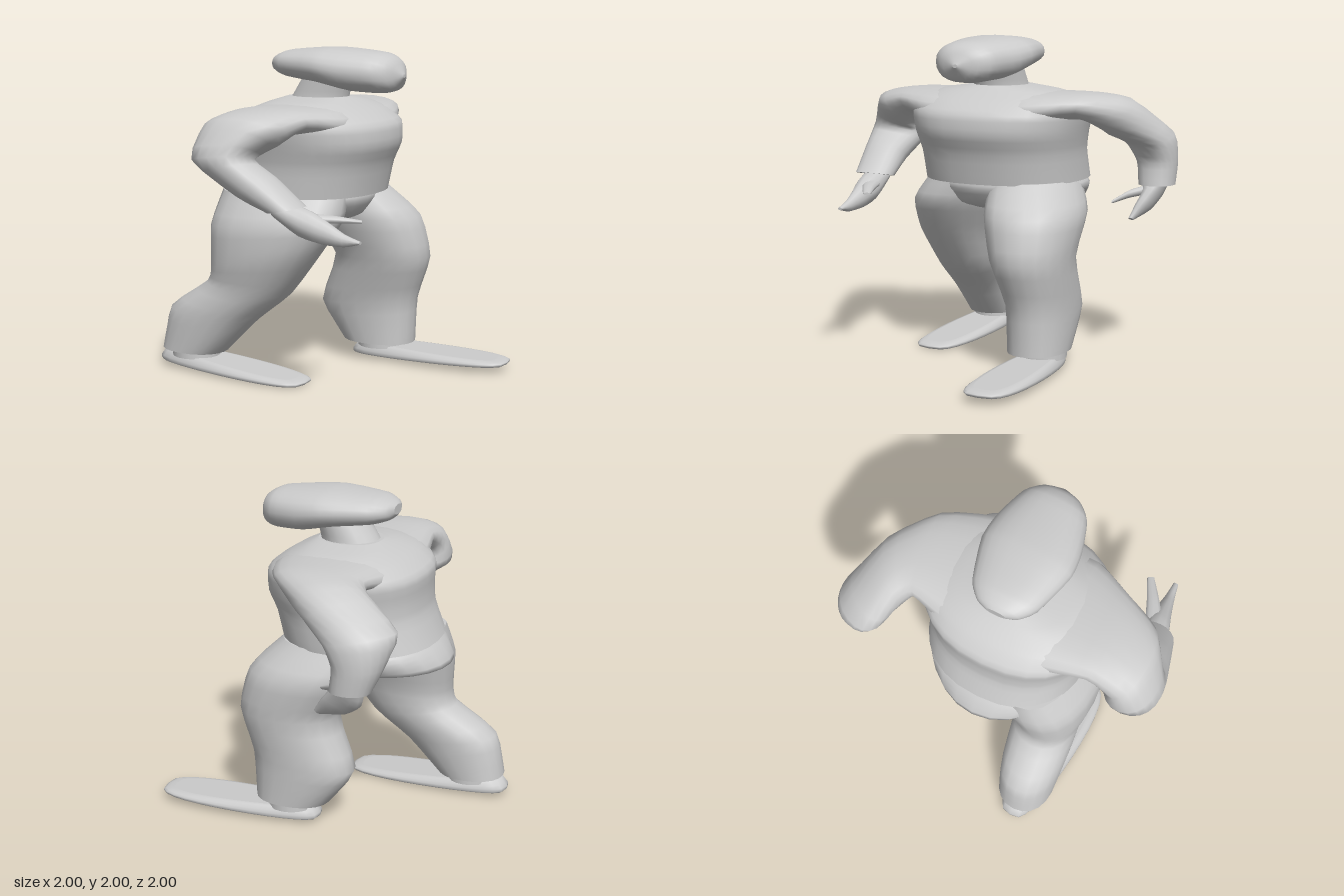
import * as THREE from 'three';

const material = new THREE.MeshStandardMaterial({ color: 0xcccccc, side: THREE.DoubleSide });
const V = (x, y, z) => new THREE.Vector3(x, y, z);

// Closed skin through a list of rings with equal point counts; caps keep their own vertices
function skin(rings) {
  const n = rings[0].length, m = rings.length, pos = [], tris = [];
  rings.forEach(r => r.forEach(p => pos.push(p.x, p.y, p.z)));
  for (let i = 0; i < m - 1; i++) for (let j = 0; j < n; j++) {
    const k = (j + 1) % n, a = i * n + j, b = i * n + k, c = a + n, d = b + n;
    tris.push([a, b, d], [a, d, c]);
  }
  for (const end of [0, m - 1]) {
    const base = pos.length / 3, mid = V(0, 0, 0);
    rings[end].forEach(p => { pos.push(p.x, p.y, p.z); mid.addScaledVector(p, 1 / n); });
    pos.push(mid.x, mid.y, mid.z);
    for (let j = 0; j < n; j++) {
      const t = [base + j, base + (j + 1) % n, base + n];
      tris.push(end ? t : [t[1], t[0], t[2]]);
    }
  }
  // Turn the faces outward if the rings ran the other way
  const at = i => V(pos[3 * i], pos[3 * i + 1], pos[3 * i + 2]);
  let volume = 0;
  for (const t of tris) volume += at(t[0]).dot(at(t[1]).cross(at(t[2])));
  const g = new THREE.BufferGeometry();
  g.setAttribute('position', new THREE.Float32BufferAttribute(pos, 3));
  g.setIndex(tris.flatMap(t => volume < 0 ? [t[0], t[2], t[1]] : t));
  g.computeVertexNormals();
  return g;
}

// Smooth limb through sections [centre, half axis u, half axis v]; power > 2 makes it boxier
function loft(sections, { n = 20, steps = 3, power = 2 } = {}) {
  const curves = [0, 1, 2].map(k =>
    new THREE.CatmullRomCurve3(sections.map(s => V(...s[k])), false, 'catmullrom', 0.3));
  const count = (sections.length - 1) * steps, rings = [];
  const bulge = t => Math.sign(t) * Math.abs(t) ** (2 / power);
  for (let i = 0; i <= count; i++) {
    const [c, u, v] = curves.map(q => q.getPoint(i / count));
    rings.push(Array.from({ length: n }, (_, j) => {
      const a = j / n * Math.PI * 2;
      return c.clone().addScaledVector(u, bulge(Math.cos(a))).addScaledVector(v, bulge(Math.sin(a)));
    }));
  }
  return skin(rings);
}

// Level section from its back and front x, its height and its half width in z
const level = (y, x0, x1, w) => [[(x0 + x1) / 2, y, 0], [(x1 - x0) / 2, 0, 0], [0, 0, w]];
// Upright section across x
const upright = (x, y0, y1, w) => [[x, (y0 + y1) / 2, 0], [0, (y1 - y0) / 2, 0], [0, 0, w]];

// Long flat shoe: sole outline, rim and a top that slopes from ankle to toe
function shoe(heel, toe) {
  const n = 28, dir = toe.clone().sub(heel), side = V(-dir.z, 0, dir.x).normalize();
  const ring = (scale, heelUp, toeUp) => Array.from({ length: n }, (_, j) => {
    const a = j / n * Math.PI * 2, s = Math.sin(a);
    const t = 0.5 - 0.5 * Math.cos(a) * scale;
    const w = (0.135 + 0.05 * t) * (2 * scale - 1);
    const p = heel.clone().addScaledVector(dir, t);
    p.addScaledVector(side, w * Math.sign(s) * Math.abs(s) ** 0.55);
    p.y += heelUp + (toeUp - heelUp) * t;
    return p;
  });
  return skin([ring(0.98, 0, 0), ring(1, 0.01, 0.008), ring(1, 0.03, 0.018),
    ring(0.97, 0.05, 0.024), ring(0.93, 0.08, 0.028), ring(0.87, 0.085, 0.03)]);
}

export function createModel() {
  const model = new THREE.Group();
  const add = (name, geometry) => {
    const mesh = new THREE.Mesh(geometry, material);
    mesh.name = name;
    model.add(mesh);
  };

  // Long flattened head on a short neck
  add('head', loft([
    upright(-0.38, 1.87, 1.93, 0.06), upright(-0.35, 1.84, 1.95, 0.13),
    upright(-0.26, 1.81, 1.98, 0.205), upright(0, 1.775, 2, 0.28),
    upright(0.17, 1.738, 1.992, 0.265), upright(0.36, 1.73, 1.972, 0.205),
    upright(0.44, 1.75, 1.93, 0.13), upright(0.49, 1.825, 1.845, 0.015),
  ], { n: 24, power: 2.3 }));
  add('neck', loft([level(1.64, -0.29, 0.1, 0.18), level(1.7, -0.26, 0.1, 0.165),
    level(1.82, -0.18, 0.13, 0.16)]));

  // Shirt body with a collar
  add('shirt', loft([
    level(1.12, -0.65, 0.3, 0.5), level(1.3, -0.58, 0.34, 0.505),
    level(1.42, -0.57, 0.39, 0.53), level(1.54, -0.57, 0.38, 0.555),
    level(1.62, -0.47, 0.27, 0.53), level(1.67, -0.36, 0.17, 0.38),
    level(1.7, -0.28, 0.11, 0.18),
  ], { n: 28, power: 2.3 }));

  // Left arm bent forward, its shoulder running wide into the shirt
  add('leftSleeve', loft([
    [[-0.1, 1.55, 0.12], [0.38, 0, 0], [0, 0.12, 0]],
    [[-0.09, 1.56, 0.34], [0.37, 0, 0], [0, 0.11, 0]],
    [[-0.12, 1.585, 0.58], [0.285, 0, 0], [0, 0.08, 0.03]],
    [[-0.17, 1.52, 0.76], [0.25, 0, 0], [0, 0.1, 0.1]],
    [[-0.25, 1.38, 0.825], [0.18, 0.02, 0], [0, 0.03, 0.17]],
    [[-0.03, 1.235, 0.815], [0.1, 0.06, 0], [0, 0, 0.14]],
    [[0.15, 1.115, 0.785], [0.1, 0.02, 0], [0, 0, 0.125]],
  ], { power: 2.2 }));
  add('leftHand', loft([
    [[0.1, 1.12, 0.785], [0.02, 0.05, 0], [0, 0, 0.085]],
    [[0.26, 1.04, 0.765], [0.03, 0.075, 0], [0, 0, 0.08]],
    [[0.38, 0.995, 0.755], [0.015, 0.065, 0], [0, 0, 0.055]],
    [[0.5, 0.963, 0.75], [0, 0.037, 0], [0, 0, 0.03]],
    [[0.6, 0.957, 0.745], [0, 0.008, 0], [0, 0, 0.015]],
  ], { n: 12 }));
  add('leftThumb', loft([
    [[0.24, 1.07, 0.75], [0, 0.03, 0], [0.03, 0, 0.05]],
    [[0.4, 1.062, 0.67], [0, 0.022, 0], [0.018, 0, 0.035]],
    [[0.53, 1.05, 0.595], [0, 0.008, 0], [0.01, 0, 0.02]],
  ], { n: 10 }));

  // Right arm swung back
  add('rightSleeve', loft([
    [[-0.1, 1.55, -0.12], [0.38, 0, 0], [0, 0.12, 0]],
    [[-0.09, 1.56, -0.34], [0.36, 0, 0], [0, 0.11, 0]],
    [[-0.13, 1.585, -0.57], [0.27, 0, -0.04], [0, 0.08, -0.03]],
    [[-0.27, 1.515, -0.71], [0.17, 0, -0.12], [-0.05, 0.11, -0.05]],
    [[-0.48, 1.375, -0.82], [0.08, 0, -0.165], [-0.17, 0.04, -0.02]],
    [[-0.49, 1.23, -0.87], [0.02, 0, -0.13], [-0.14, 0, 0]],
    [[-0.45, 1.09, -0.885], [0, 0, -0.11], [-0.12, 0, 0]],
  ], { power: 2.2 }));
  add('rightHand', loft([
    [[-0.45, 1.12, -0.885], [0, 0, -0.08], [-0.09, 0, 0]],
    [[-0.41, 1.03, -0.87], [0, 0.01, -0.06], [-0.1, -0.03, 0]],
    [[-0.33, 0.96, -0.845], [0, 0.01, -0.045], [-0.075, -0.035, 0]],
    [[-0.22, 0.9, -0.815], [0, 0, -0.015], [-0.02, -0.01, 0]],
  ], { n: 12 }));
  add('rightThumb', loft([
    [[-0.4, 1.06, -0.85], [0, 0.03, 0], [0.05, 0, 0]],
    [[-0.31, 1.04, -0.77], [0, 0.024, 0], [0.035, 0, 0]],
    [[-0.2, 1, -0.7], [0, 0.01, 0], [0.015, 0, 0]],
  ], { n: 10 }));

  // Trousers: hips and two striding legs
  add('hips', loft([
    level(1.15, -0.62, 0.24, 0.46), level(1.08, -0.68, 0.25, 0.5),
    level(0.985, -0.73, 0.19, 0.42), level(0.94, -0.6, 0.06, 0.2),
    level(0.93, -0.4, -0.1, 0.06),
  ], { n: 24 }));
  add('leftLeg', loft([
    [[-0.2, 1.13, 0.23], [0.41, 0, 0], [0, 0, 0.25]],
    [[-0.21, 0.95, 0.315], [0.43, 0.03, 0], [0, 0, 0.285]],
    [[-0.26, 0.73, 0.36], [0.36, 0.05, 0], [0, 0, 0.245]],
    [[-0.38, 0.54, 0.36], [0.27, -0.03, 0], [0, 0, 0.21]],
    [[-0.62, 0.36, 0.385], [0.29, -0.03, 0], [0, 0, 0.195]],
    [[-0.76, 0.12, 0.395], [0.21, -0.005, 0], [0, 0, 0.175]],
  ], { power: 2.2 }));
  add('rightLeg', loft([
    [[-0.1, 1.13, -0.23], [0.34, 0, 0], [0, 0, 0.25]],
    [[0.05, 0.94, -0.31], [0.375, 0, 0], [0, 0, 0.285]],
    [[0.17, 0.68, -0.35], [0.31, 0, 0], [0, 0, 0.235]],
    [[0.065, 0.38, -0.375], [0.325, 0.03, 0], [0, 0, 0.195]],
    [[0.135, 0.12, -0.38], [0.235, 0, 0], [0, 0, 0.178]],
  ], { power: 2.2 }));

  // Ankles and shoes
  for (const [side, x, z, heel, toe] of [
    ['left', -0.75, 0.4, V(-1, 0.03, 0.385), V(0.07, 0, 0.45)],
    ['right', 0.14, -0.4, V(-0.05, 0.018, -0.4), V(1, 0.043, -0.435)],
  ]) {
    add(side + 'Ankle', new THREE.CylinderGeometry(0.15, 0.15, 0.06, 20).translate(x, 0.11, z));
    add(side + 'Shoe', shoe(heel, toe));
  }
  return model;
}
